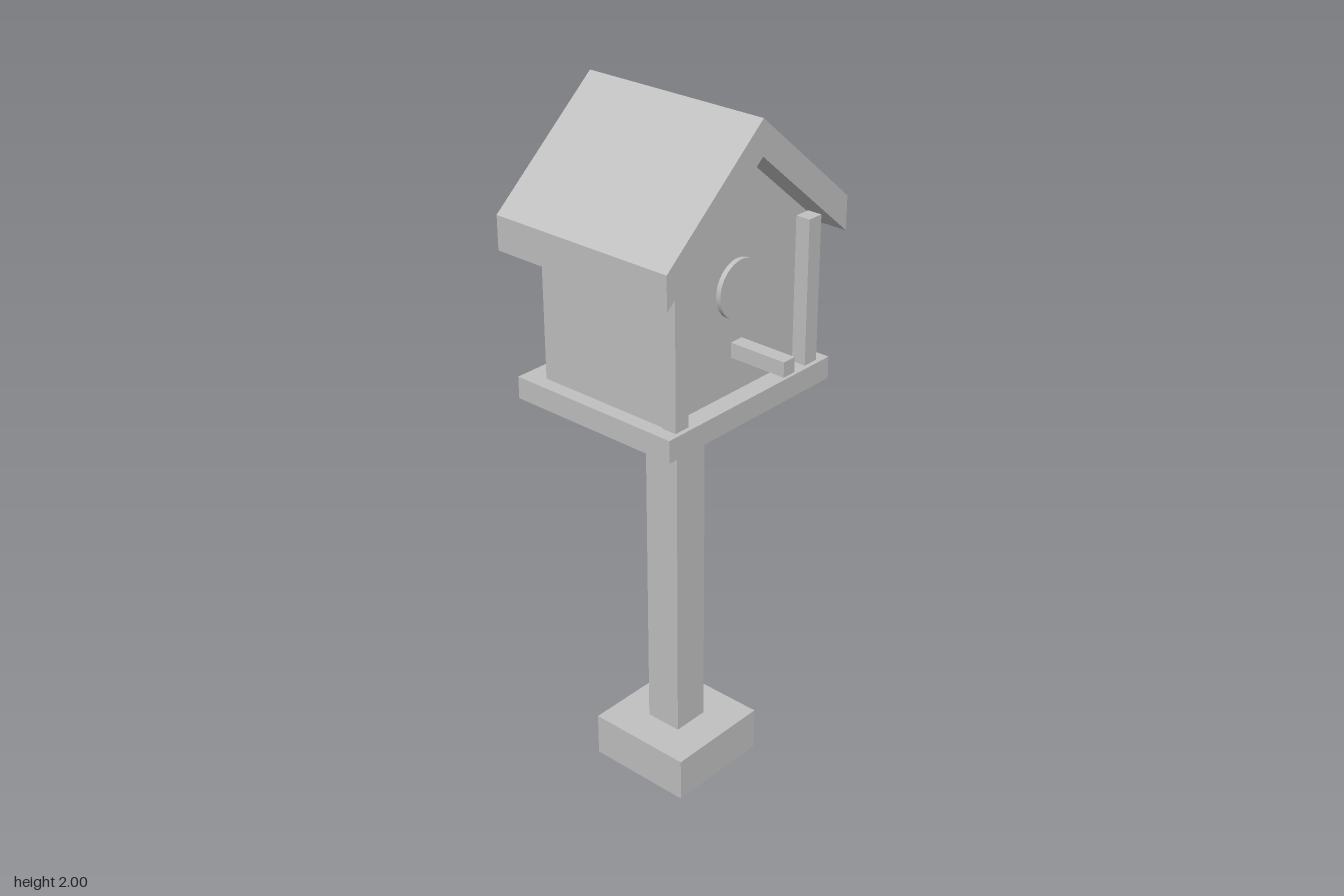
import * as THREE from 'three';

export function createModel() {
  const model = new THREE.Group();
  model.name = 'birdhouse';
  const grey = new THREE.MeshStandardMaterial({ color: 0xc0c0c0 });
  grey.name = 'plain grey';
  const axisZ = -0.048; // the post line sits behind the centre because of the perch

  const add = (name, geometry, x, y, z) => {
    const mesh = new THREE.Mesh(geometry, grey);
    mesh.name = name;
    mesh.position.set(x, y, z);
    model.add(mesh);
    return mesh;
  };
  // Box given by its size, bottom height and centre
  const box = (name, w, h, d, x, bottom, z) =>
    add(name, new THREE.BoxGeometry(w, h, d), x, bottom + h / 2, z);
  // Front outline extruded from zBack to zFront
  const slab = (name, points, zBack, zFront) => {
    const shape = new THREE.Shape(points.map(([x, y]) => new THREE.Vector2(x, y)));
    const geometry = new THREE.ExtrudeGeometry(shape, { depth: zFront - zBack, bevelEnabled: false });
    return add(name, geometry, 0, 0, zBack);
  };

  // Stand
  box('base', 0.324, 0.13, 0.324, 0, 0, axisZ);
  box('pole', 0.112, 1.07, 0.112, 0, 0.13, axisZ);
  box('floor', 0.63, 0.063, 0.53, 0, 1.196, axisZ);

  // House body with pointed gables
  slab('house', [[-0.274, 1.259], [0.274, 1.259], [0.274, 1.668], [0, 1.9], [-0.274, 1.668]], -0.25, 0.161);

  // Roof: two slopes joined at the ridge
  slab('roof', [[-0.342, 1.615], [0, 1.905], [0.342, 1.615], [0.342, 1.71], [0, 2], [-0.342, 1.71]], -0.333, 0.236);

  // Corner posts on the front
  for (const [side, name] of [[1, 'leftPost'], [-1, 'rightPost']]) {
    box(name, 0.048, 0.41, 0.043, side * 0.254, 1.259, 0.1825);
  }

  // Entrance disc and perch
  const disc = add('entrance', new THREE.CylinderGeometry(0.08, 0.08, 0.03, 32), 0, 1.546, 0.16);
  disc.rotation.x = Math.PI / 2;
  box('perch', 0.042, 0.042, 0.183, 0, 1.36, 0.2415);

  return model;
}
